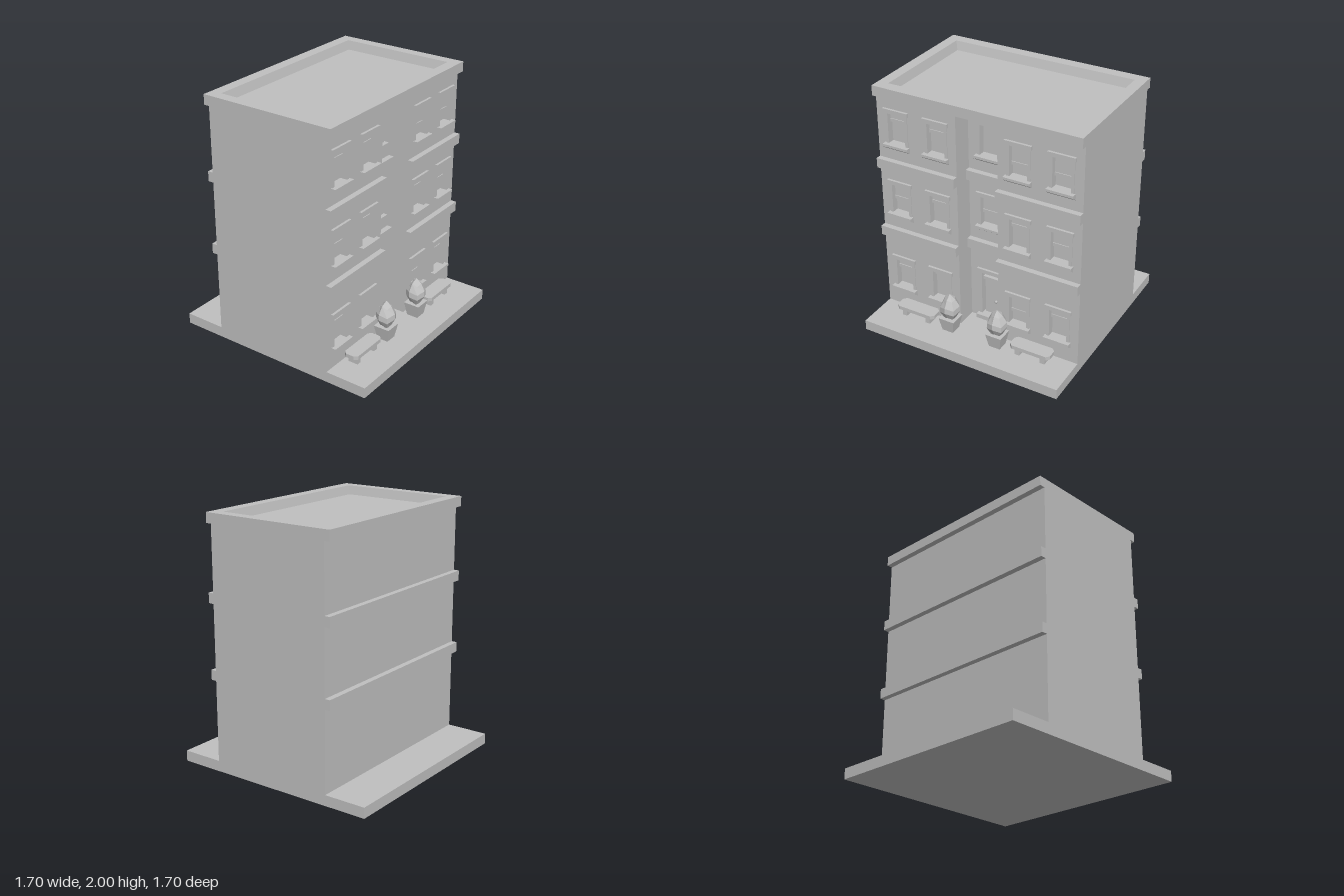
import * as THREE from 'three';

const stone = new THREE.MeshStandardMaterial({ color: 0xbfbfbf });
stone.name = 'stoneGrey';
const FRONT = 0.51, RECESS = 0.34, PANEL = 0.05, BAY = 0.172, HALF = 0.85;
const BOTTOM = 0.085, EAVES = 1.92;

function add(parent, name, geometry) {
  const mesh = new THREE.Mesh(geometry, stone);
  mesh.name = name;
  parent.add(mesh);
  return mesh;
}

// box given by its limits
function block(parent, name, x0, x1, y0, y1, z0, z1) {
  const g = new THREE.BoxGeometry(x1 - x0, y1 - y0, z1 - z0);
  g.translate((x0 + x1) / 2, (y0 + y1) / 2, (z0 + z1) / 2);
  return add(parent, name, g);
}

function rectPoints(x0, x1, y0, y1) {
  return [[x0, y0], [x1, y0], [x1, y1], [x0, y1]].map(p => new THREE.Vector2(...p));
}

// wall panel pierced by window openings [x0, x1, y0, y1]
function piercedWall(parent, name, x0, x1, front, openings) {
  const shape = new THREE.Shape(rectPoints(x0, x1, BOTTOM, EAVES));
  for (const o of openings) shape.holes.push(new THREE.Path(rectPoints(...o)));
  const g = new THREE.ExtrudeGeometry(shape, { depth: PANEL, bevelEnabled: false });
  g.translate(0, 0, front - PANEL);
  add(parent, name, g);
}

// lintel and side posts shared by windows and the door
function surround(parent, x, y0, top, front) {
  block(parent, 'lintel', x - 0.108, x + 0.108, top - 0.033, top, front - 0.02, front + 0.02);
  for (const s of [-1, 1]) {
    const c = x + s * 0.085;
    block(parent, 'sidePost', c - 0.012, c + 0.012, y0, top - 0.033, front - 0.03, front + 0.006);
  }
}

function makeWindow(x, top, rail, front) {
  const g = new THREE.Group();
  g.name = 'window';
  const sillTop = top - 0.283, back = front - PANEL;
  surround(g, x, sillTop, top, front);
  // sill with a sloping underside, profile in (z, y)
  const profile = new THREE.Shape([[-0.02, 0], [-0.02, -0.05], [0, -0.05], [0.04, -0.02], [0.04, 0]]
    .map(p => new THREE.Vector2(...p)));
  const sill = new THREE.ExtrudeGeometry(profile, { depth: 0.216, bevelEnabled: false });
  sill.rotateY(-Math.PI / 2);
  sill.translate(x + 0.108, sillTop, front);
  add(g, 'sill', sill);
  // sliding sash
  if (rail) {
    block(g, 'upperSash', x - 0.073, x + 0.073, rail + 0.013, top - 0.033, back - 0.01, back + 0.015);
    block(g, 'sashRail', x - 0.073, x + 0.073, rail - 0.013, rail + 0.013, back - 0.01, back + 0.022);
  }
  return g;
}

// roof slab with parapet, from rectangular loops [halfX, halfZ, y]
function roofGeometry() {
  const loops = [[0, 0, EAVES], [0.85, 0.555, EAVES], [0.85, 0.555, 2], [0.765, 0.465, 2],
    [0.745, 0.445, 1.93], [0, 0, 1.93]];
  const corners = [[1, 1], [1, -1], [-1, -1], [-1, 1]];
  const pos = [];
  const at = (l, c) => [l[0] * c[0], l[2], l[1] * c[1]];
  for (let i = 0; i < loops.length - 1; i++) {
    for (let k = 0; k < 4; k++) {
      const c = corners[k], d = corners[(k + 1) % 4];
      const a = at(loops[i], c), b = at(loops[i], d), e = at(loops[i + 1], d), f = at(loops[i + 1], c);
      pos.push(...a, ...b, ...e, ...a, ...e, ...f);
    }
  }
  const g = new THREE.BufferGeometry();
  g.setAttribute('position', new THREE.Float32BufferAttribute(pos, 3));
  g.computeVertexNormals();
  return g;
}

function makePlanter(x) {
  const g = new THREE.Group();
  g.name = 'planter';
  // square tapering pot
  const pot = new THREE.CylinderGeometry(0.067 * Math.SQRT2, 0.047 * Math.SQRT2, 0.113, 4).toNonIndexed();
  pot.rotateY(Math.PI / 4);
  pot.computeVertexNormals();
  add(g, 'pot', pot).position.y = BOTTOM + 0.0565;
  // faceted, slightly irregular shrub
  const profile = [[0, 0.195], [0.045, 0.2], [0.08, 0.26], [0.078, 0.305], [0.045, 0.365], [0, 0.41]];
  let shrub = new THREE.LatheGeometry(profile.map(p => new THREE.Vector2(...p)), 7);
  const p = shrub.attributes.position;
  for (let i = 0; i < p.count; i++) {
    const r = Math.hypot(p.getX(i), p.getZ(i));
    if (r > 0.01) {
      const a = Math.atan2(p.getX(i), p.getZ(i));
      p.setY(i, p.getY(i) + 0.012 * Math.sin(3 * a + 20 * r));
    }
  }
  shrub = shrub.toNonIndexed();
  shrub.computeVertexNormals();
  add(g, 'shrub', shrub);
  g.position.set(x, 0, 0.6);
  return g;
}

function makeBench(x) {
  const g = new THREE.Group();
  g.name = 'bench';
  const w = 0.17, d = 0.06, c = 0.025;
  // seat with clipped corners
  const seat = new THREE.ExtrudeGeometry(new THREE.Shape([
    [-w + c, -d], [w - c, -d], [w, -d + c], [w, d - c], [w - c, d], [-w + c, d], [-w, d - c], [-w, -d + c],
  ].map(q => new THREE.Vector2(...q))), { depth: 0.03, bevelEnabled: false });
  seat.rotateX(-Math.PI / 2);
  add(g, 'seat', seat).position.y = 0.145;
  for (const s of [-1, 1]) block(g, 'leg', s * 0.107 - 0.02, s * 0.107 + 0.02, BOTTOM, 0.145, -0.04, 0.04);
  g.position.set(x, 0, 0.597);
  return g;
}

export function createModel() {
  const model = new THREE.Group();
  model.name = 'apartmentBuilding';
  block(model, 'pavement', -HALF, HALF, 0, BOTTOM, -0.85, 0.85);
  block(model, 'mainBody', -HALF, HALF, BOTTOM, EAVES, -FRONT, RECESS - PANEL);
  for (const s of [-1, 1]) {
    const [x0, x1] = s < 0 ? [-HALF, -BAY] : [BAY, HALF];
    block(model, 'frontWing', x0, x1, BOTTOM, EAVES, RECESS - PANEL, FRONT - PANEL);
  }
  add(model, 'roof', roofGeometry());

  // storey bands, following the recessed bay
  for (const y of [0.73, 1.325]) {
    block(model, 'rearBand', -HALF, HALF, y, y + 0.08, -0.555, -FRONT);
    block(model, 'leftBand', BAY, HALF, y, y + 0.08, FRONT, 0.555);
    block(model, 'rightBand', -HALF, -BAY, y, y + 0.08, FRONT, 0.555);
    block(model, 'bayBand', -BAY, BAY, y, y + 0.08, RECESS, RECESS + 0.045);
  }

  // windows: top of lintel and sash rail height by column
  const columns = [-0.682, -0.342, 0, 0.34, 0.68];
  const rows = [
    { top: 0.545, rails: [0.43, 0.475, 0, 0.365, 0.43] },
    { top: 1.225, rails: [1.06, 1.12, 1.05, 1.12, 1.06] },
    { top: 1.822, rails: [1.715, 1.71, 0, 1.63, 1.635] },
  ];
  const openings = { right: [], bay: [], left: [] };
  rows.forEach((row, r) => columns.forEach((x, c) => {
    const side = c < 2 ? 'right' : c > 2 ? 'left' : 'bay';
    const isDoor = r === 0 && c === 2;
    openings[side].push([x - 0.073, x + 0.073, isDoor ? 0.12 : row.top - 0.283, row.top - 0.033]);
    if (!isDoor) model.add(makeWindow(x, row.top, row.rails[c], side === 'bay' ? RECESS : FRONT));
  }));
  piercedWall(model, 'rightFrontWall', -HALF, -BAY, FRONT, openings.right);
  piercedWall(model, 'leftFrontWall', BAY, HALF, FRONT, openings.left);
  piercedWall(model, 'bayWall', -BAY, BAY, RECESS, openings.bay);

  // entrance
  const door = new THREE.Group();
  door.name = 'entrance';
  surround(door, 0, 0.12, 0.545, RECESS);
  block(door, 'doorstep', -0.108, 0.108, BOTTOM, 0.12, RECESS - 0.02, RECESS + 0.04);
  block(door, 'door', -0.06, 0.06, 0.12, 0.43, RECESS - 0.06, RECESS - 0.03);
  block(door, 'transom', -0.073, 0.073, 0.43, 0.457, RECESS - 0.06, RECESS - 0.02);
  add(door, 'doorKnob', new THREE.SphereGeometry(0.012, 12, 8)).position.set(0.037, 0.245, RECESS - 0.022);
  model.add(door);

  // street furniture
  for (const s of [-1, 1]) {
    model.add(makePlanter(s * 0.21));
    model.add(makeBench(s * 0.51));
  }
  return model;
}
